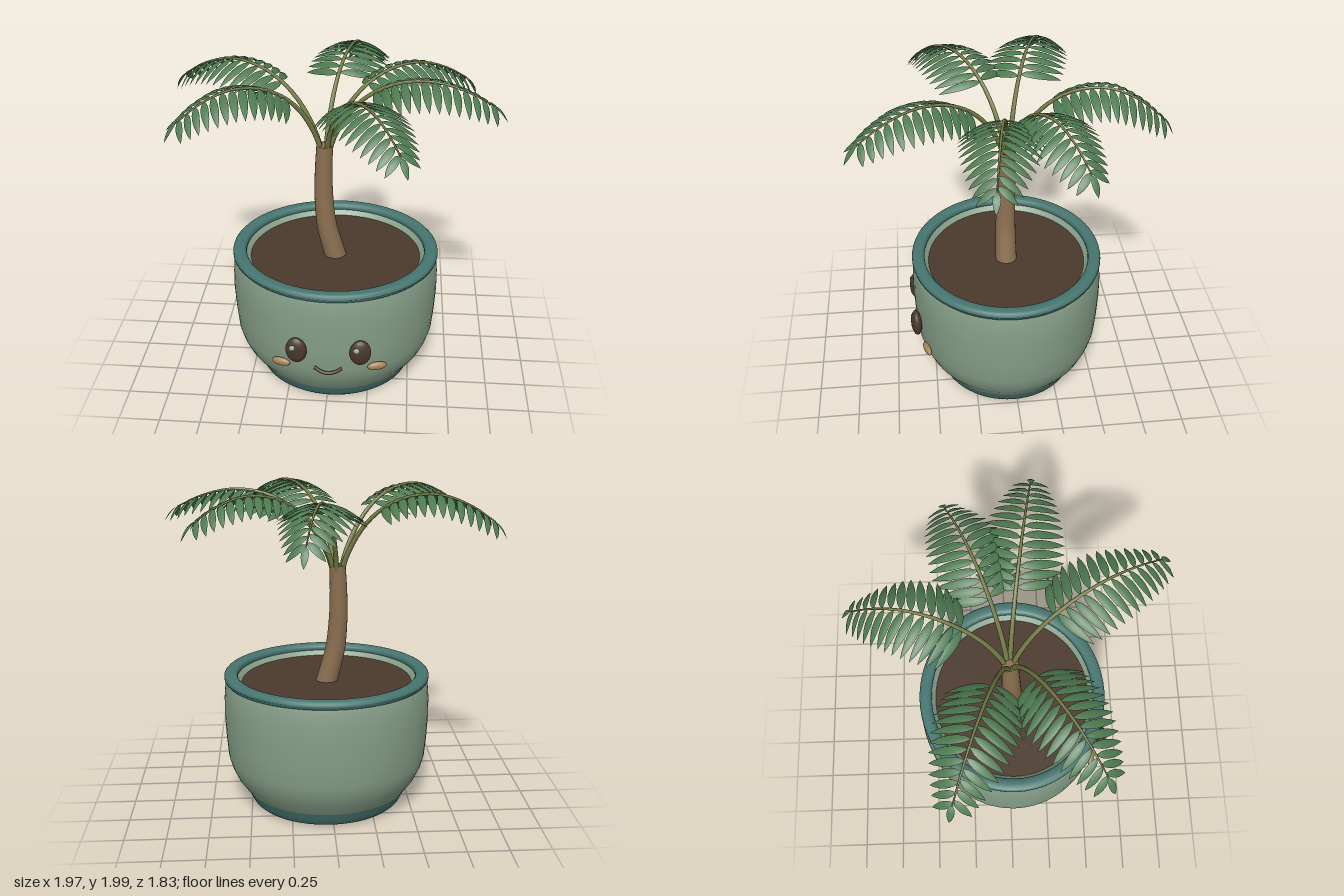
import * as THREE from 'three';
import { mergeGeometries } from 'three/addons/utils/BufferGeometryUtils.js';

const V3 = (x, y, z) => new THREE.Vector3(x, y, z);

function makeMaterial(name, color, side = THREE.FrontSide) {
  const m = new THREE.MeshStandardMaterial({ color, side });
  m.name = name;
  return m;
}

function addMesh(parent, name, geometry, material) {
  const mesh = new THREE.Mesh(geometry, material);
  mesh.name = name;
  parent.add(mesh);
  return mesh;
}

const lathe = (pts) => new THREE.LatheGeometry(pts.map(([r, y]) => new THREE.Vector2(r, y)), 64);

// Tube whose radius runs from r0 to r1 along the path
function taperedTube(curve, segments, sides, r0, r1) {
  const g = new THREE.TubeGeometry(curve, segments, 1, sides);
  const p = g.attributes.position;
  const v = V3();
  for (let i = 0; i <= segments; i++) {
    const c = curve.getPointAt(i / segments);
    const r = r0 + (r1 - r0) * i / segments;
    for (let j = 0; j <= sides; j++) {
      const k = i * (sides + 1) + j;
      v.fromBufferAttribute(p, k).sub(c).multiplyScalar(r).add(c);
      p.setXYZ(k, v.x, v.y, v.z);
    }
  }
  return g;
}

// Unit leaflet along +x: pointed blade with a raised midrib and drooping tip
function leafletGeometry() {
  const pos = [], index = [], n = 6;
  for (let i = 0; i <= n; i++) {
    const t = i / n;
    const w = 0.5 * Math.pow(Math.sin(Math.PI * Math.pow(t, 0.85)), 0.75) + 0.02 * (1 - t);
    const y = -0.42 * Math.pow(t, 1.7);
    for (const s of [-1, 0, 1]) pos.push(t, y + (s === 0 ? 0.035 * Math.sin(Math.PI * t) : 0), s * w);
    if (i === n) continue;
    for (let j = 0; j < 2; j++) {
      const a = i * 3 + j;
      index.push(a, a + 1, a + 4, a, a + 4, a + 3);
    }
  }
  const g = new THREE.BufferGeometry();
  g.setAttribute('position', new THREE.Float32BufferAttribute(pos, 3));
  g.setIndex(index);
  g.computeVertexNormals();
  return g;
}

// One arching frond: tapered stem with paired leaflets and a tip leaflet
function buildFrond(tipX, tipY, tipZ, leaflet, mats) {
  const frond = new THREE.Group();
  const base = V3(-0.045, 0, 0.005);
  const out = V3(tipX - base.x, 0, tipZ - base.z);
  const reach = out.length();
  out.normalize();
  const drop = tipY - 1.8;
  const profile = [[0.025, 1.48], [0.045, 1.56], [0.1, 1.68], [0.17, 1.785], [0.27, 1.88], [0.42, 1.955],
    [0.6, 1.975], [0.78, 1.925 + drop * 0.4], [0.92, 1.845 + drop]];
  const curve = new THREE.CatmullRomCurve3(
    profile.map(([d, y]) => base.clone().addScaledVector(out, d * reach).setY(y)));
  addMesh(frond, 'frondStem', taperedTube(curve, 24, 7, 0.017, 0.004), mats.stem);

  const parts = [];
  const place = (u, side, angle, length, width) => {
    const T = curve.getTangentAt(u);
    const S = T.clone().cross(V3(0, 1, 0)).normalize();
    const N = S.clone().cross(T);
    const D = S.multiplyScalar(side * Math.cos(angle)).addScaledVector(T, Math.sin(angle));
    const m = new THREE.Matrix4().makeBasis(D, N, D.clone().cross(N));
    m.scale(V3(length, length, width)).setPosition(curve.getPointAt(u));
    parts.push(leaflet.clone().applyMatrix4(m));
  };
  const pairs = 13;
  for (let i = 0; i < pairs; i++) {
    const f = i / (pairs - 1);
    const u = 0.41 + 0.57 * f;
    const length = 0.26 - 0.13 * Math.pow(f, 2) - 0.02 * Math.pow(1 - f, 4);
    for (const side of [-1, 1]) {
      place(u + side * 0.006, side, 0.2 + 0.45 * f * f, length, 0.052 - 0.008 * f);
    }
  }
  place(1, 1, Math.PI / 2, 0.11, 0.04);
  addMesh(frond, 'frondLeaflets', mergeGeometries(parts), mats.leaf);
  return frond;
}

export function createModel() {
  const model = new THREE.Group();
  model.name = 'pottedPalm';
  const mats = {
    pot: makeMaterial('sage glaze', 0x869f89),
    trim: makeMaterial('teal glaze', 0x467570),
    soil: makeMaterial('soil brown', 0x4b392c),
    trunk: makeMaterial('bark tan', 0x8b7050),
    stem: makeMaterial('stem olive', 0x747c45),
    leaf: makeMaterial('leaf green', 0x4d7a50, THREE.DoubleSide),
    dark: makeMaterial('face brown', 0x4a382b),
    cheek: makeMaterial('cheek tan', 0xa58357),
    shine: makeMaterial('eye shine', 0x9db8b0),
  };

  // Slightly oval pot
  const pot = new THREE.Group();
  pot.name = 'pot';
  pot.position.set(0.02, 0, 0.025);
  pot.scale.set(1, 1, 0.922);
  model.add(pot);
  addMesh(pot, 'potFoot', lathe([[0.12, 0.1], [0.15, 0.07], [0.25, 0.045], [0.35, 0.015], [0.42, 0],
    [0.455, 0.007], [0.475, 0.025], [0.492, 0.06], [0.512, 0.1]]), mats.trim);
  addMesh(pot, 'potBody', lathe([[0.512, 0.1], [0.57, 0.18], [0.602, 0.25], [0.622, 0.32], [0.633, 0.45],
    [0.64, 0.6], [0.638, 0.7], [0.63, 0.79], [0.615, 0.835]]), mats.pot);
  addMesh(pot, 'potInnerWall', lathe([[0.57, 0.84], [0.545, 0.815], [0.515, 0.785]]), mats.pot);
  const rim = [];
  for (let i = 0; i <= 16; i++) {
    const a = i / 16 * Math.PI * 2, c = Math.cos(a), s = Math.sin(a);
    rim.push([0.594 + 0.042 * Math.sign(c) * Math.pow(Math.abs(c), 0.8),
      0.837 + 0.028 * Math.sign(s) * Math.pow(Math.abs(s), 0.8)]);
  }
  addMesh(pot, 'potRim', lathe(rim), mats.trim);
  const soil = addMesh(pot, 'soil', new THREE.CircleGeometry(0.528, 64), mats.soil);
  soil.rotation.x = -Math.PI / 2;
  soil.position.y = 0.797;
  // Floor seen through the drain hole
  const floor = addMesh(pot, 'potFloor', new THREE.CircleGeometry(0.2, 32), mats.pot);
  floor.rotation.x = Math.PI / 2;
  floor.position.y = 0.11;

  // Face
  const face = new THREE.Group();
  face.name = 'face';
  face.position.x = 0.02;
  model.add(face);
  const ball = new THREE.SphereGeometry(1, 28, 18);
  const blob = (name, mat, p, s, turn) => {
    const m = addMesh(face, name, ball, mat);
    m.position.set(...p);
    m.scale.set(...s);
    m.rotation.y = turn;
  };
  for (const [label, s] of [['left', 1], ['right', -1]]) {
    blob(label + 'Eye', mats.dark, [s * 0.19, 0.473, 0.607], [0.064, 0.086, 0.034], s * 0.12);
    blob(label + 'EyeShine', mats.shine, [s * 0.19 - 0.02, 0.503, 0.633], [0.019, 0.018, 0.009], 0);
    blob(label + 'Cheek', mats.cheek, [s * 0.29, 0.338, 0.55], [0.06, 0.027, 0.02], s * 0.3);
  }
  const smile = new THREE.CatmullRomCurve3([V3(-0.083, 0.35, 0.606), V3(-0.045, 0.328, 0.615),
    V3(0, 0.317, 0.617), V3(0.045, 0.328, 0.615), V3(0.083, 0.35, 0.606)]);
  addMesh(face, 'mouth', taperedTube(smile, 20, 8, 0.011, 0.011), mats.dark);

  // Curved trunk with a closed top
  const path = new THREE.CatmullRomCurve3([V3(0.025, 0.77, 0.025), V3(-0.002, 0.87, 0.025), V3(-0.033, 1.0, 0.023),
    V3(-0.05, 1.18, 0.018), V3(-0.052, 1.35, 0.013), V3(-0.045, 1.53, 0.01)]);
  addMesh(model, 'trunk', taperedTube(path, 24, 20, 0.067, 0.049), mats.trunk);
  const cap = addMesh(model, 'trunkTop', new THREE.CircleGeometry(0.049, 20), mats.trunk);
  cap.rotation.x = -Math.PI / 2;
  cap.position.set(-0.045, 1.53, 0.01);

  // Crown of six fronds, by tip position
  const leaflet = leafletGeometry();
  const tips = [[0.19, 1.77, -0.92], [0.85, 1.8, -0.36], [0.99, 1.82, 0.17],
    [0.44, 1.82, 0.92], [-0.87, 1.8, 0.52], [-0.99, 1.79, -0.335]];
  tips.forEach(([x, y, z], i) => {
    const f = buildFrond(x, y, z, leaflet, mats);
    f.name = 'frond' + (i + 1);
    model.add(f);
  });
  return model;
}
